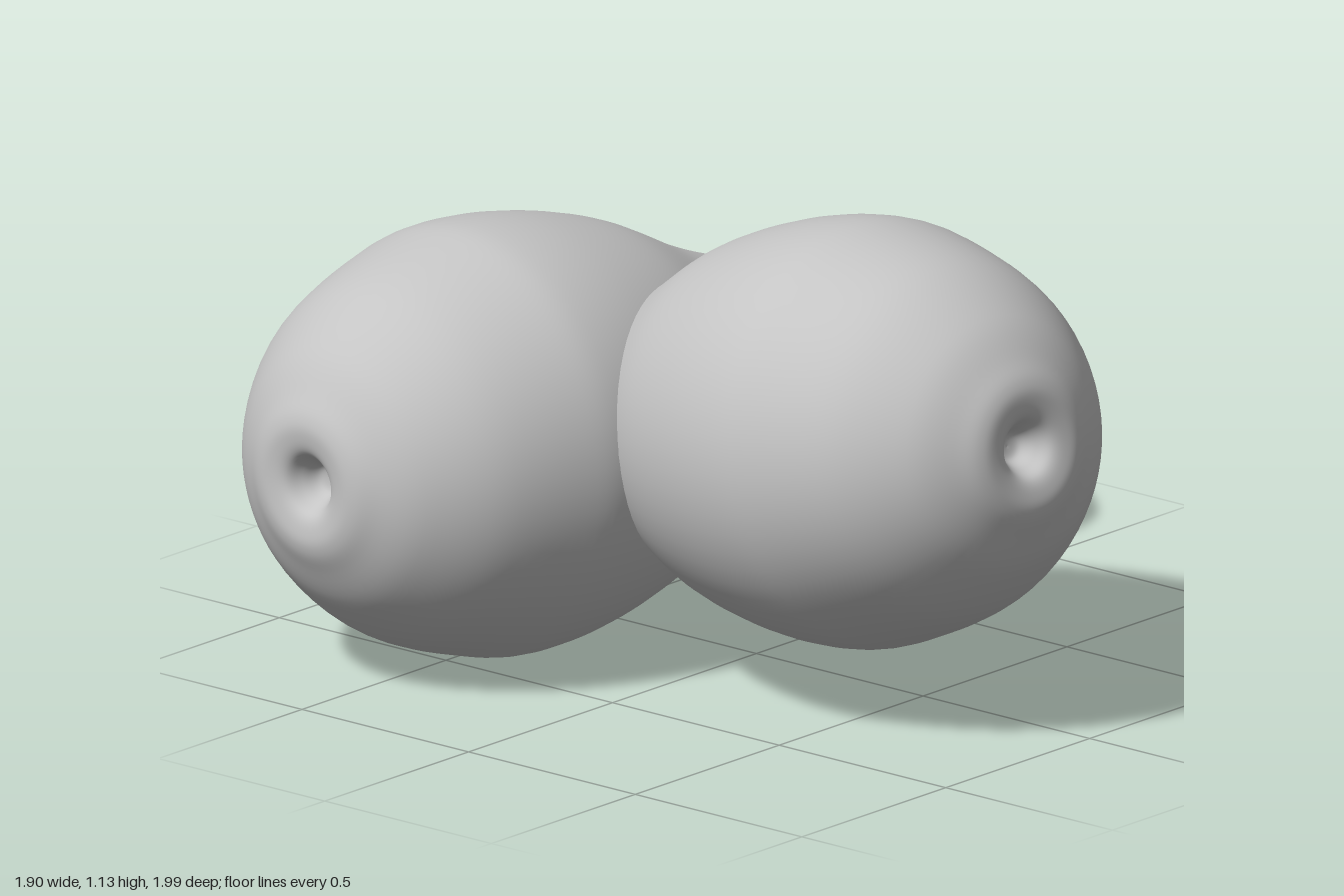
import * as THREE from 'three';

const glass = new THREE.MeshStandardMaterial({ color: 0xc4c4c4 });
glass.name = 'frosted glass grey';
const metal = new THREE.MeshStandardMaterial({ color: 0x74808b });
metal.name = 'steel blue grey';
const dark = new THREE.MeshStandardMaterial({ color: 0x352b2b });
dark.name = 'dark contact brown';

const vec2 = (list) => list.map(([r, t]) => new THREE.Vector2(r, t));

function mesh(name, geometry, material) {
  const m = new THREE.Mesh(geometry, material);
  m.name = name;
  return m;
}

// Surface of revolution; profile points are [radius, distance along the axis]
function turned(name, profile, steps, material) {
  const pts = new THREE.SplineCurve(vec2(profile)).getPoints(steps);
  pts.forEach((p) => { p.x = Math.max(p.x, 0); });
  return mesh(name, new THREE.LatheGeometry(pts, 64), material);
}

// Raised screw thread: 4.5 turns around the base
class Helix extends THREE.Curve {
  getPoint(u, target = new THREE.Vector3()) {
    const a = Math.PI - u * 9 * Math.PI;
    return target.set(0.245 * Math.cos(a), 1.409 + u * 4.5 * 0.0735, 0.245 * Math.sin(a));
  }
}

// One bulb along local +y, with the dimpled tip at the origin
function makeBulb(name) {
  const bulb = new THREE.Group();
  bulb.name = name;

  // Glass envelope, starting inside the dimple
  bulb.add(turned('glassEnvelope', [
    [0, 0.085], [0.03, 0.078], [0.052, 0.045], [0.075, 0.014], [0.11, 0.002],
    [0.15, 0.003], [0.2, 0.026], [0.305, 0.095], [0.415, 0.235], [0.485, 0.43],
    [0.505, 0.56], [0.487, 0.74], [0.43, 0.945], [0.33, 1.146], [0.27, 1.3],
    [0.24, 1.42],
  ], 90, glass));

  // Metal base with a rounded shoulder
  bulb.add(turned('screwBase', [
    [0.232, 1.39], [0.233, 1.5], [0.235, 1.62], [0.236, 1.72], [0.229, 1.765],
    [0.21, 1.8], [0.18, 1.828], [0.14, 1.838],
  ], 40, metal));

  const helix = new Helix();
  bulb.add(mesh('screwThread', new THREE.TubeGeometry(helix, 260, 0.02, 10), metal));
  for (const u of [0, 1]) {
    const cap = mesh('threadEnd', new THREE.SphereGeometry(0.02, 12, 8), metal);
    cap.position.copy(helix.getPoint(u));
    bulb.add(cap);
  }

  // End contact with a shallow hollow in its face
  bulb.add(turned('endContact', [
    [0.15, 1.805], [0.156, 1.83], [0.153, 1.855], [0.132, 1.878], [0.09, 1.88],
    [0.04, 1.876], [0, 1.862],
  ], 30, dark));
  return bulb;
}

// Place a bulb with its tip at a point and its axis along a direction
function place(bulb, tip, direction, scale) {
  const y = new THREE.Vector3(...direction).normalize();
  const x = new THREE.Vector3().crossVectors(y, new THREE.Vector3(0, 1, 0)).normalize();
  const z = new THREE.Vector3().crossVectors(x, y);
  bulb.quaternion.setFromRotationMatrix(new THREE.Matrix4().makeBasis(x, y, z));
  bulb.position.set(...tip);
  bulb.scale.setScalar(scale);
  return bulb;
}

export function createModel() {
  const model = new THREE.Group();
  model.name = 'lightBulbs';
  model.add(place(makeBulb('sidewaysBulb'), [-0.935, 0.507, -0.55], [0.995, 0, 0.099], 1));
  // Second bulb has its base sunk through the first
  model.add(place(makeBulb('forwardBulb'), [-0.165, 0.722, 0.968], [0.11, -0.15, -0.982], 0.98));
  return model;
}
